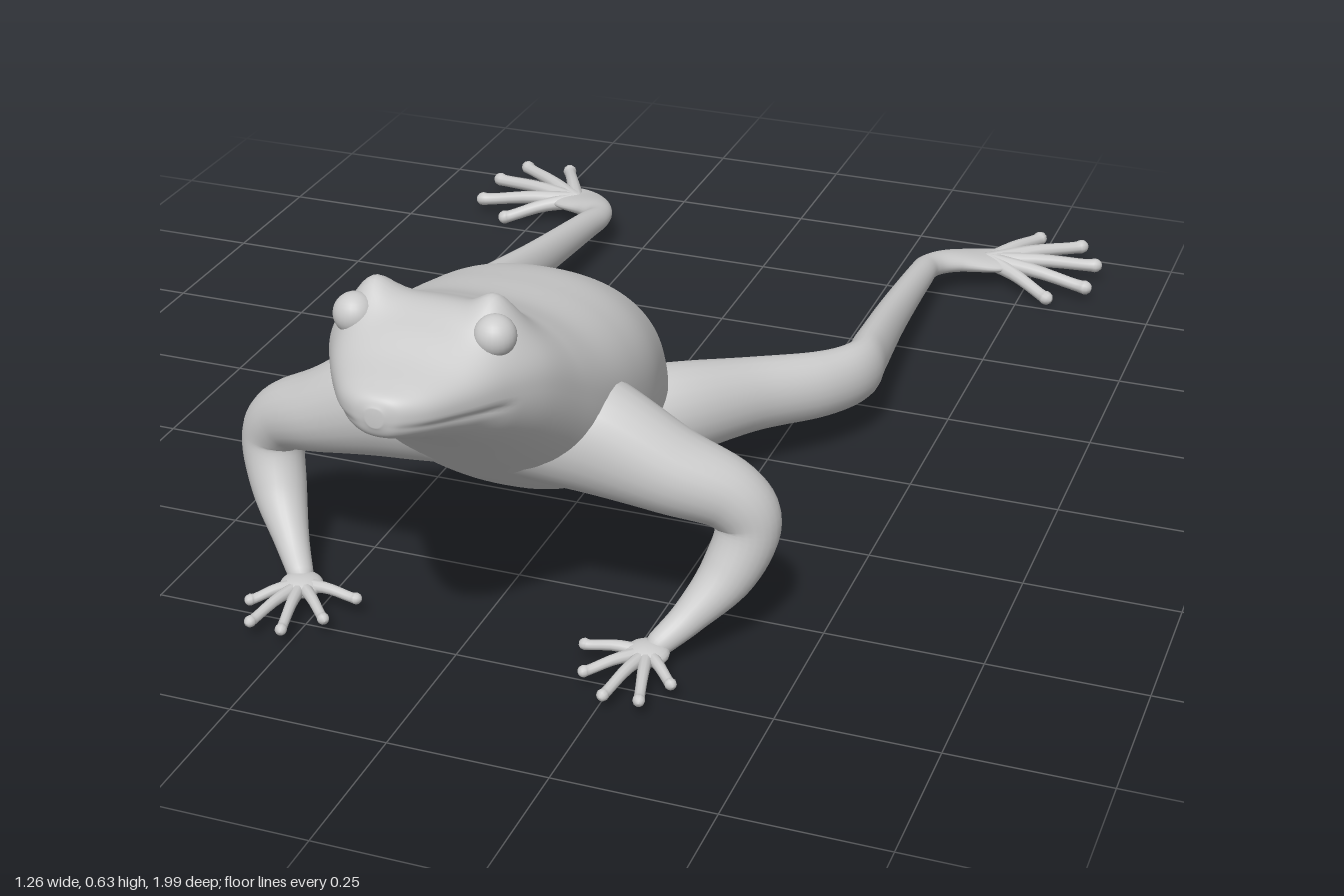
import * as THREE from 'three';

const material = new THREE.MeshStandardMaterial({ color: 0xcccccc });

// Smooth closed skin over a list of rings, each an array of Vector3
function skin(rings) {
  const n = rings[0].length, index = [];
  for (let i = 0; i < rings.length - 1; i++) {
    for (let j = 0; j < n; j++) {
      const k = (j + 1) % n, a = i * n, b = a + n;
      index.push(a + j, a + k, b + j, a + k, b + k, b + j);
    }
  }
  const geometry = new THREE.BufferGeometry().setFromPoints(rings.flat());
  geometry.setIndex(index);
  geometry.computeVertexNormals();
  return geometry;
}

function addMesh(parent, name, geometry) {
  const mesh = new THREE.Mesh(geometry, material);
  mesh.name = name;
  parent.add(mesh);
  return mesh;
}

// Limb swept along [x, y, z, half width, half height] with domed ends
function limb(points, ref, steps, sides, mirror) {
  const path = new THREE.CatmullRomCurve3(points.map(p => new THREE.Vector3(p[0] * mirror, p[1], p[2])), false, 'catmullrom');
  const size = new THREE.CatmullRomCurve3(points.map(p => new THREE.Vector3(p[3], p[4] ?? p[3], 0)), false, 'catmullrom');
  const rings = [];
  const addRing = (t, scale, push) => {
    const c = path.getPoint(t), r = size.getPoint(t), tan = path.getTangent(t);
    const side = ref.clone().cross(tan).normalize();
    const up = tan.clone().cross(side);
    c.addScaledVector(tan, push * Math.min(r.x, r.y));
    rings.push(Array.from({ length: sides }, (_, j) => {
      const a = j / sides * Math.PI * 2;
      return c.clone().addScaledVector(side, r.x * scale * Math.cos(a)).addScaledVector(up, r.y * scale * Math.sin(a));
    }));
  };
  const dome = [0.001, 0.5, 0.85];
  dome.forEach(s => addRing(0, s, -Math.sqrt(1 - s * s)));
  for (let i = 0; i <= steps; i++) addRing(i / steps, 1, 0);
  dome.reverse().forEach(s => addRing(1, s, Math.sqrt(1 - s * s)));
  return skin(rings);
}

// Head and trunk: upright slices [z, top, bottom, half width], tail to snout
function bodyGeometry() {
  const slices = [
    [0.085, 0.19, 0.15, 0.015], [0.1, 0.235, 0.1, 0.06], [0.14, 0.258, 0.085, 0.1],
    [0.2, 0.325, 0.085, 0.14], [0.25, 0.4, 0.1, 0.155], [0.32, 0.455, 0.12, 0.175],
    [0.42, 0.505, 0.14, 0.198], [0.52, 0.53, 0.175, 0.205], [0.62, 0.55, 0.24, 0.2],
    [0.7, 0.58, 0.305, 0.188], [0.78, 0.61, 0.37, 0.17], [0.85, 0.598, 0.42, 0.137],
    [0.91, 0.575, 0.455, 0.103], [0.96, 0.562, 0.478, 0.07], [0.987, 0.553, 0.492, 0.04],
    [0.997, 0.538, 0.51, 0.013]];
  const profile = new THREE.CatmullRomCurve3(slices.map(s => new THREE.Vector3(s[0], s[1], s[2])), false, 'catmullrom');
  const widths = new THREE.CatmullRomCurve3(slices.map(s => new THREE.Vector3(s[3], 0, 0)), false, 'catmullrom');
  const round = v => Math.sign(v) * Math.abs(v) ** 0.87;
  const smooth = THREE.MathUtils.smoothstep;
  const rings = [], steps = 120, sides = 112;
  for (let i = -1; i <= steps + 1; i++) {
    const t = THREE.MathUtils.clamp(i / steps, 0, 1);
    const { x: z, y: top, z: bottom } = profile.getPoint(t);
    const pole = i < 0 || i > steps ? 0.001 : 1;
    const w = widths.getPoint(t).x * pole;
    const mid = THREE.MathUtils.lerp(bottom, top, 0.55);
    rings.push(Array.from({ length: sides }, (_, j) => {
      const a = j / sides * Math.PI * 2, s = Math.sin(a);
      let x = w * round(Math.cos(a));
      let y = mid + (s > 0 ? top - mid : mid - bottom) * round(s) * pole;
      // Brow bumps above the eyes
      if (s > 0) {
        const bump = Math.exp(-(((Math.abs(x) - 0.095) / 0.036) ** 2) - ((z - 0.79) / 0.045) ** 2);
        y += 0.036 * bump * smooth(s, 0, 0.6);
      }
      // Mouth crease with the lower jaw set back under the lip
      const lip = THREE.MathUtils.mapLinear(z, 0.84, 0.99, 0.492, 0.51);
      const crease = 0.07 * Math.exp(-(((y - lip) / 0.006) ** 2)) + 0.04 * (1 - smooth(y, lip - 0.01, lip));
      x *= 1 - crease * smooth(z, 0.83, 0.88);
      return new THREE.Vector3(x, y, z);
    }));
  }
  return skin(rings);
}

const armPath = [
  [0.08, 0.355, 0.6, 0.1], [0.17, 0.335, 0.6, 0.093, 0.08], [0.28, 0.29, 0.585, 0.068],
  [0.365, 0.25, 0.56, 0.055], [0.393, 0.2, 0.552, 0.05], [0.372, 0.13, 0.58, 0.043],
  [0.33, 0.075, 0.63, 0.028], [0.295, 0.042, 0.672, 0.02]];

const legPath = [
  [0.05, 0.165, 0.25, 0.065, 0.075], [0.13, 0.16, 0.17, 0.072, 0.08], [0.23, 0.145, 0.04, 0.056, 0.064],
  [0.32, 0.132, -0.06, 0.046, 0.058], [0.364, 0.127, -0.14, 0.037, 0.055], [0.36, 0.118, -0.23, 0.033, 0.052],
  [0.346, 0.1, -0.42, 0.029, 0.04], [0.336, 0.078, -0.65, 0.025, 0.028], [0.336, 0.068, -0.73, 0.025, 0.022],
  [0.365, 0.06, -0.785, 0.034, 0.019], [0.42, 0.046, -0.84, 0.05, 0.014], [0.455, 0.043, -0.868, 0.042, 0.011]];

const fingerTips = [[0.345, 0.03, 0.755], [0.315, 0.03, 0.815], [0.258, 0.03, 0.82], [0.208, 0.032, 0.77], [0.183, 0.035, 0.7]];
const toeTips = [[0.497, 0.045, -0.988], [0.587, 0.048, -0.97], [0.628, 0.037, -0.912], [0.628, 0.03, -0.815], [0.56, 0.016, -0.77]];

// Digits fanning from a root, slim in the middle with a slightly wider tip
function addDigits(parent, name, root, tips, radius, mirror) {
  const up = new THREE.Vector3(0, 1, 0);
  const profile = [[0, 1.25], [0.45, 0.95], [0.85, 0.85], [0.95, 1]];
  tips.forEach((tip, i) => {
    const points = profile.map(([t, r]) => [
      ...root.map((v, k) => THREE.MathUtils.lerp(v, tip[k], t)), radius * r]);
    points[1][1] += 0.005;
    addMesh(parent, name + (i + 1), limb(points, up, 10, 10, mirror));
  });
}

export function createModel() {
  const model = new THREE.Group();
  model.name = 'frog';
  addMesh(model, 'body', bodyGeometry());

  for (const [side, m] of [['left', 1], ['right', -1]]) {
    const eye = addMesh(model, side + 'Eye', new THREE.SphereGeometry(0.031, 24, 16));
    eye.position.set(0.107 * m, 0.589, 0.825);

    const arm = new THREE.Group();
    arm.name = side + 'FrontLeg';
    addMesh(arm, 'arm', limb(armPath, new THREE.Vector3(0, 0, 1), 48, 24, m));
    const palm = addMesh(arm, 'palm', new THREE.SphereGeometry(1, 20, 12));
    palm.scale.set(0.034, 0.016, 0.034);
    palm.position.set(0.284 * m, 0.036, 0.692);
    addDigits(arm, 'finger', [0.284, 0.036, 0.692], fingerTips, 0.0095, m);

    const leg = new THREE.Group();
    leg.name = side + 'HindLeg';
    addMesh(leg, 'hindLeg', limb(legPath, new THREE.Vector3(0, 1, 0), 72, 24, m));
    addDigits(leg, 'toe', [0.425, 0.046, -0.842], toeTips, 0.0135, m);
    model.add(arm, leg);
  }
  return model;
}
